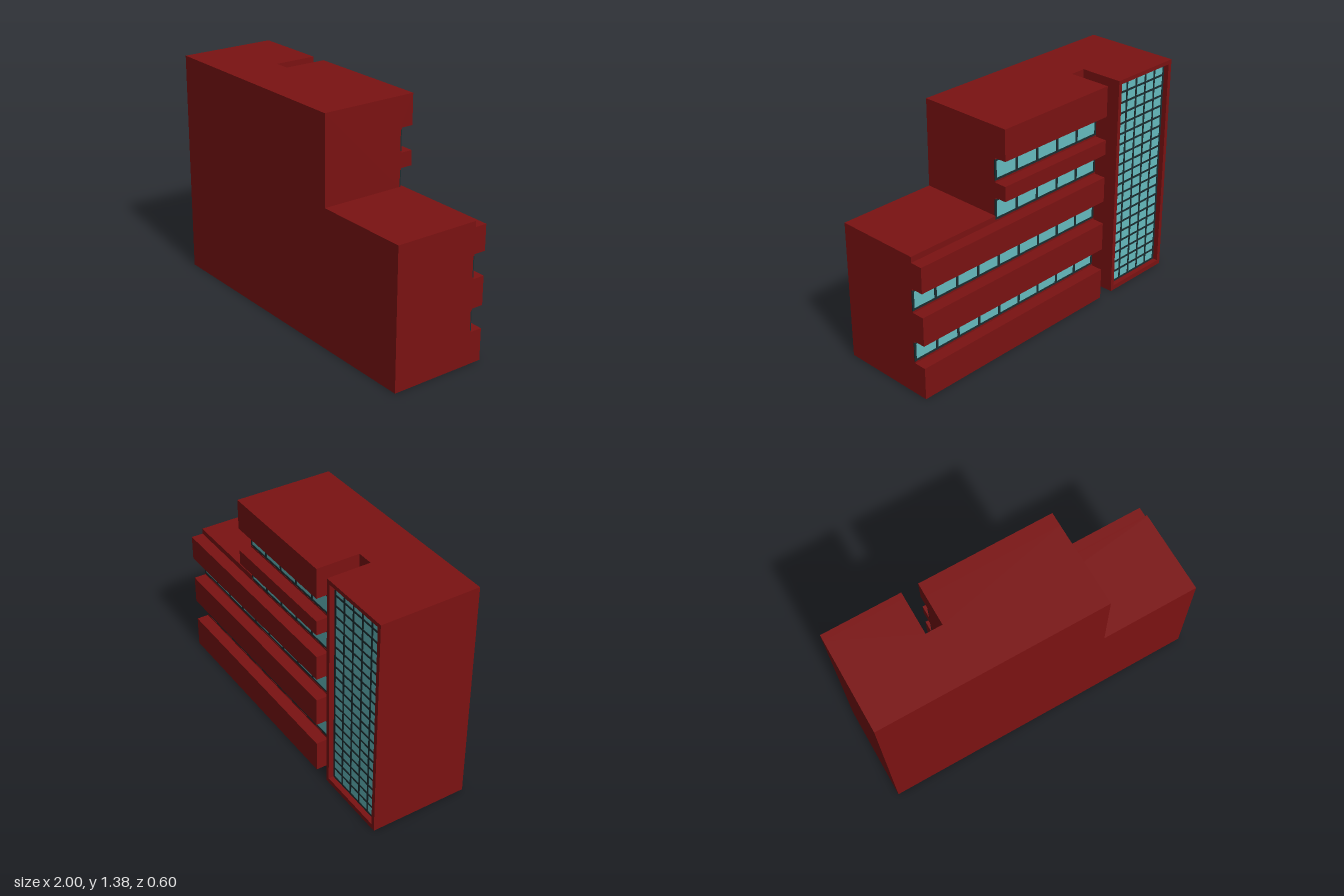
import * as THREE from 'three';

const brick = new THREE.MeshStandardMaterial({ color: 0x7b1212 });
const frameMat = new THREE.MeshStandardMaterial({ color: 0x1b2d30 });
const glassMat = new THREE.MeshStandardMaterial({ color: 0x66bcc0 });

const TOP = 1.375, WING_TOP = 0.845, FRONT = 0.3, BACK = -0.3;
const TOWER_X = -0.525, NOTCH_X = -0.425, NOTCH_Z = -0.035, STEP_X = 0.39;
const WALL = -0.218, LIP = -0.226, TOWER_WALL = -0.262;

export function createModel() {
  const model = new THREE.Group();
  model.name = 'officeBuilding';

  function add(name, geometry, material, parent = model) {
    const mesh = new THREE.Mesh(geometry, material);
    mesh.name = name;
    parent.add(mesh);
    return mesh;
  }

  // Box given by its two corners
  function box(name, x0, x1, y0, y1, z0, z1, material = brick, parent = model) {
    const mesh = add(name, new THREE.BoxGeometry(x1 - x0, y1 - y0, z1 - z0), material, parent);
    mesh.position.set((x0 + x1) / 2, (y0 + y1) / 2, (z0 + z1) / 2);
  }

  function rectPoints(x0, x1, y0, y1) {
    return [[x0, y0], [x1, y0], [x1, y1], [x0, y1]].map(p => new THREE.Vector2(...p));
  }

  // Upright panel with rectangular holes, from z0 to z1
  function pierced(name, outer, holes, z0, z1, material, parent) {
    const shape = new THREE.Shape(rectPoints(...outer));
    shape.holes = holes.map(h => new THREE.Path(rectPoints(...h)));
    const geo = new THREE.ExtrudeGeometry(shape, { depth: z1 - z0, bevelEnabled: false });
    add(name, geo, material, parent).position.z = z0;
  }

  // Glazing: a dark grid of bars with a glass sheet set just behind it
  function glazing(name, x0, x1, y0, y1, cols, rows, bar, edgeX, edgeY, zFront, zWall) {
    const group = new THREE.Group();
    group.name = name;
    model.add(group);
    const w = (x1 - x0 - 2 * edgeX - (cols - 1) * bar) / cols;
    const h = (y1 - y0 - 2 * edgeY - (rows - 1) * bar) / rows;
    const holes = [];
    for (let c = 0; c < cols; c++) {
      for (let r = 0; r < rows; r++) {
        const x = x0 + edgeX + c * (w + bar), y = y0 + edgeY + r * (h + bar);
        holes.push([x, x + w, y, y + h]);
      }
    }
    pierced('windowFrame', [x0, x1, y0, y1], holes, zFront, zWall, frameMat, group);
    box('glass', x0 + edgeX, x1 - edgeX, y0 + edgeY, y1 - edgeY, zFront + 0.003, zWall, glassMat, group);
  }

  // Solid core: floor plan with the slot behind the stair tower, extruded upward
  function core(name, xMax, y0, y1) {
    const plan = new THREE.Shape([
      [-1, FRONT], [-1, TOWER_WALL], [TOWER_X, TOWER_WALL], [TOWER_X, NOTCH_Z],
      [NOTCH_X, NOTCH_Z], [NOTCH_X, WALL], [xMax, WALL], [xMax, FRONT],
    ].map(([x, z]) => new THREE.Vector2(x, -z)));
    const geo = new THREE.ExtrudeGeometry(plan, { depth: y1 - y0, bevelEnabled: false });
    geo.rotateX(-Math.PI / 2);
    add(name, geo, brick).position.y = y0;
  }
  core('lowerCore', 1, 0, WING_TOP);
  core('upperCore', STEP_X, WING_TOP, TOP);

  // Projecting wall bands across the back
  const bands = [
    [0, 0.195, 1], [0.335, 0.51, 1], [0.655, 0.81, 1],
    [0.955, 1.045, STEP_X], [1.19, TOP, STEP_X],
  ];
  for (const [y0, y1, x1] of bands) box('wallBand', NOTCH_X, x1, y0, y1, BACK, WALL);
  box('wingRoofEdge', STEP_X, 1, 0.81, WING_TOP, LIP, WALL);

  // Ribbon windows in the recesses between the bands
  bands.slice(0, -1).forEach(([, y0], i) => {
    const y1 = bands[i + 1][0], x1 = i < 2 ? 1 : STEP_X;
    box('windowSill', NOTCH_X, x1, y0, y0 + 0.01, LIP, WALL);
    box('windowHead', NOTCH_X, x1, y1 - 0.01, y1, LIP, WALL);
    glazing('ribbonWindow', NOTCH_X, x1, y0 + 0.01, y1 - 0.01,
      i < 2 ? 9 : 5, 1, 0.016, 0.012, 0.012, LIP + 0.001, WALL);
  });

  // Tower surround and its full-height glazed wall
  const opening = [-0.975, -0.55, 0.03, 1.35];
  pierced('towerSurround', [-1, TOWER_X, 0, TOP], [opening], BACK, TOWER_WALL, brick, model);
  glazing('towerGlazing', ...opening, 5, 20, 0.012, 0.012, 0.012, -0.269, TOWER_WALL);

  return model;
}
